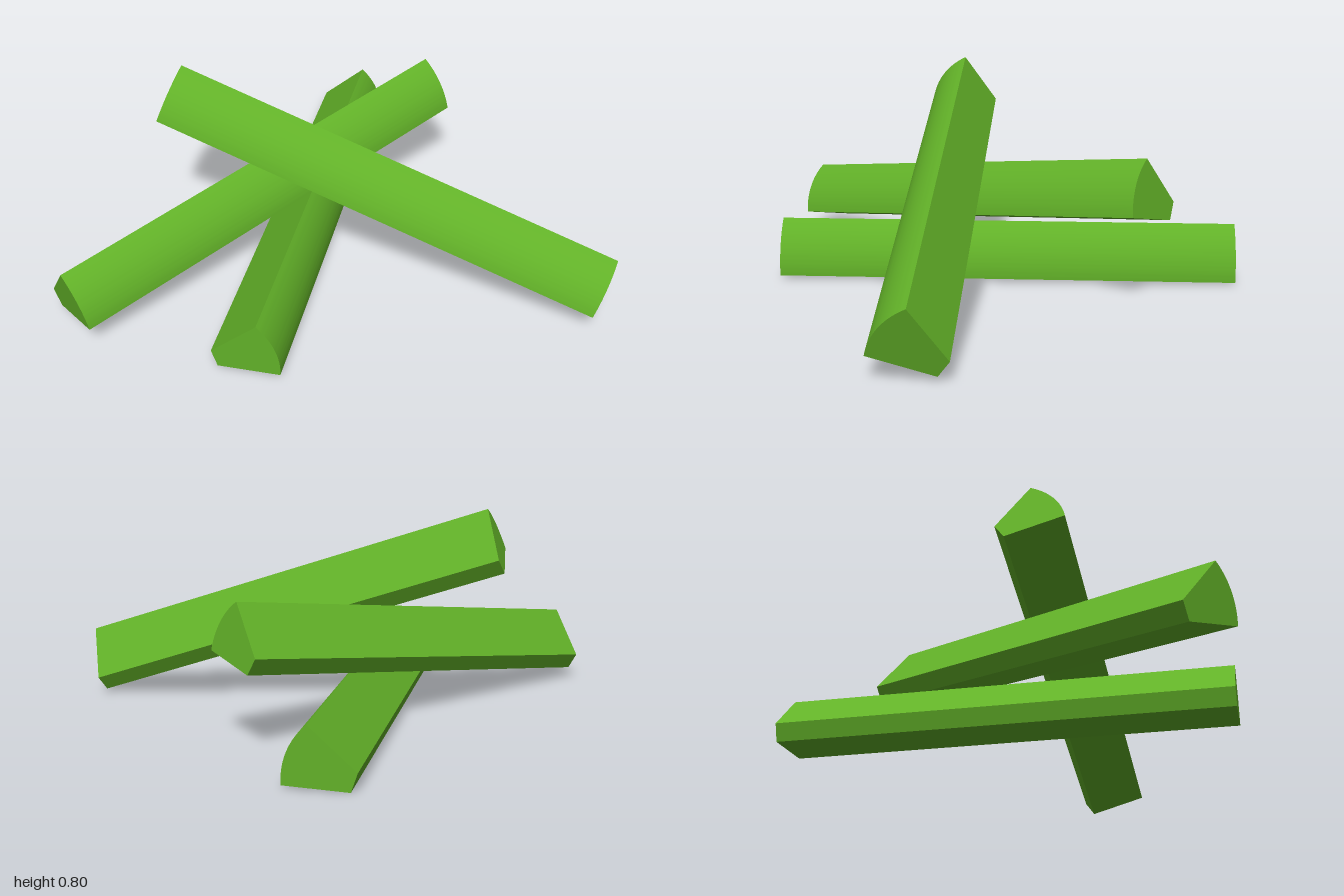
import * as THREE from 'three';
import { toCreasedNormals } from 'three/addons/utils/BufferGeometryUtils.js';

const LENGTH = 1.738;

// Split-log cross-section: blunt core edge, two flat split faces, rounded bark
function logSection() {
  const s = new THREE.Shape();
  s.moveTo(0, 0);
  s.lineTo(0.023, -0.067);
  s.absarc(0, -0.04, 0.254, -0.063, 0.855, false);
  s.closePath();
  return s;
}

export function createModel() {
  const group = new THREE.Group();
  group.name = 'splitLogPile';
  const material = new THREE.MeshStandardMaterial({ color: 0x62b128 });
  const geometry = toCreasedNormals(
    new THREE.ExtrudeGeometry(logSection(), { depth: LENGTH, bevelEnabled: false, steps: 1, curveSegments: 14 }),
    0.4
  );

  // start: core corner of one end; along: log direction; across: core towards bark
  const logs = [
    { name: 'bottomLog', start: [0.365, 0.067, -0.86], along: [-0.86, 0, 1.505], across: [0.868, 0, 0.496] },
    { name: 'middleLog', start: [0.59, 0.36, -0.437], along: [-1.59, -0.255, 0.66], across: [0.336, 0.163, 0.92] },
    { name: 'topLog', start: [0.998, 0.07, 0.638], along: [-1.41, 0.545, -0.86], across: [-0.429, 0.248, 0.857] },
  ];

  for (const { name, start, along, across } of logs) {
    const z = new THREE.Vector3(...along).normalize();
    const y = new THREE.Vector3().crossVectors(z, new THREE.Vector3(...across)).normalize();
    const x = new THREE.Vector3().crossVectors(y, z);
    const log = new THREE.Mesh(geometry, material);
    log.name = name;
    log.quaternion.setFromRotationMatrix(new THREE.Matrix4().makeBasis(x, y, z));
    log.position.set(...start);
    group.add(log);
  }
  return group;
}
